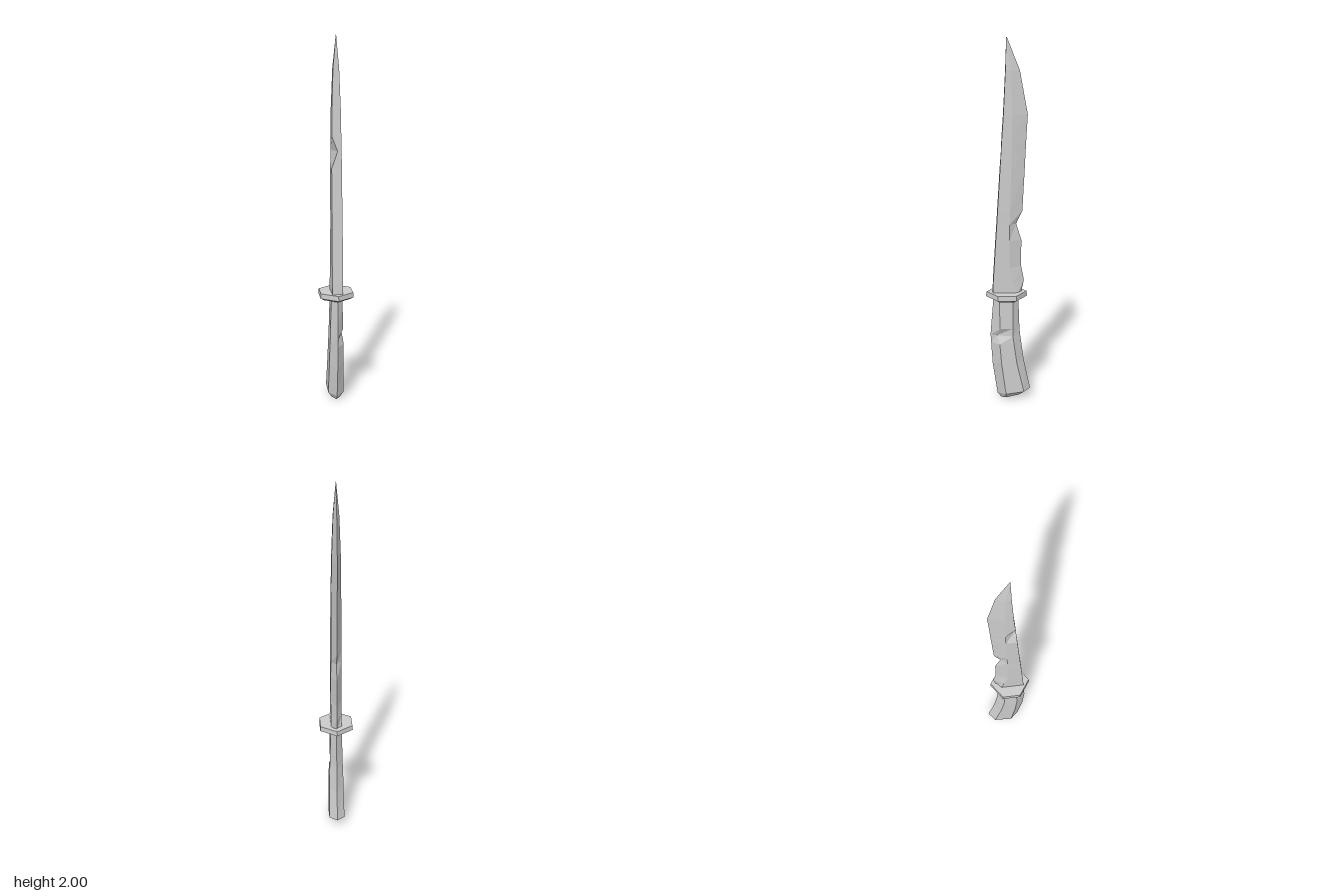
import * as THREE from 'three';

const material = new THREE.MeshStandardMaterial({ color: 0xcccccc, flatShading: true });

// Skin a stack of rings (bottom to top, each anticlockwise seen from above) and cap both ends
function loft(name, rings) {
  const pos = [];
  const tri = (...pts) => pts.forEach((p) => pos.push(...p));
  const n = rings[0].length;
  const centre = (ring) => [0, 1, 2].map((k) => ring.reduce((s, p) => s + p[k], 0) / n);
  const first = rings[0], last = rings[rings.length - 1];
  const c0 = centre(first), c1 = centre(last);
  for (let i = 0; i < n; i++) {
    const j = (i + 1) % n;
    for (let r = 0; r < rings.length - 1; r++) {
      const lo = rings[r], hi = rings[r + 1];
      tri(lo[i], lo[j], hi[j]);
      tri(lo[i], hi[j], hi[i]);
    }
    tri(c0, first[j], first[i]);
    tri(c1, last[i], last[j]);
  }
  const geo = new THREE.BufferGeometry();
  geo.setAttribute('position', new THREE.Float32BufferAttribute(pos, 3));
  geo.computeVertexNormals();
  const mesh = new THREE.Mesh(geo, material);
  mesh.name = name;
  return mesh;
}

// Blade: flat spine at the front, parallel cheeks, then a bevel down to the cutting edge
function makeBlade() {
  // y, half width, spine z, bevel line z, edge z, x of the right spine corner when chipped
  const sections = [
    [0.61, 0.029, 0.086, -0.045, -0.068],
    [0.69, 0.029, 0.083, -0.025, -0.085],
    [0.77, 0.029, 0.078, -0.005, -0.07],
    [0.92, 0.029, 0.069, -0.005, -0.07],
    [1.01, 0.028, 0.063, -0.006, -0.042],
    [1.08, 0.028, 0.059, -0.008, -0.075],
    [1.31, 0.027, 0.045, -0.014, -0.087],
    [1.4, 0.026, 0.04, -0.016, -0.091, 0.005],
    [1.48, 0.025, 0.035, -0.018, -0.095],
    [1.6, 0.024, 0.027, -0.02, -0.102],
    [1.83, 0.016, 0.016, -0.012, -0.06],
    [2.0, 0.001, 0.011, 0.01, 0.008],
  ];
  return loft('blade', sections.map(([y, w, spine, bevel, edge, chip = -w]) => [
    [chip, y, spine], [w, y, spine], [w, y, bevel], [0, y, edge], [-w, y, bevel],
  ]));
}

// Hexagonal ring with ridges at front and back
const hexRing = (w, front, frontSide, backSide, back, yFront, yBack = yFront) => {
  const y = (z) => yFront + ((yBack - yFront) * (front - z)) / (front - back);
  return [[0, front], [w, frontSide], [w, backSide], [0, back], [-w, backSide], [-w, frontSide]]
    .map(([x, z]) => [x, y(z), z]);
};

// Guard: hexagonal plate with a chamfered underside
function makeGuard() {
  return loft('guard', [
    hexRing(0.07, 0.096, 0.05, -0.03, -0.078, 0.587),
    hexRing(0.09, 0.122, 0.06, -0.04, -0.102, 0.6),
    hexRing(0.088, 0.119, 0.059, -0.039, -0.1, 0.627),
  ]);
}

// Grip: bent hexagonal bar, swelling downwards, with a nick and a chamfered butt
function makeGrip() {
  const nicked = hexRing(0.036, 0.098, 0.05, -0.024, -0.065, 0.375);
  nicked[1] = [0.012, 0.375, 0.064];
  return loft('grip', [
    hexRing(0.024, 0.04, 0.012, -0.06, -0.092, 0, 0.03),
    hexRing(0.043, 0.06, 0.014, -0.085, -0.122, 0.027, 0.052),
    hexRing(0.04, 0.087, 0.038, -0.046, -0.086, 0.205, 0.22),
    hexRing(0.038, 0.095, 0.048, -0.03, -0.071, 0.33),
    nicked,
    hexRing(0.035, 0.095, 0.047, -0.024, -0.061, 0.42),
    hexRing(0.03, 0.081, 0.05, -0.023, -0.055, 0.595),
  ]);
}

export function createModel() {
  const group = new THREE.Group();
  group.name = 'machete';
  group.add(makeBlade(), makeGuard(), makeGrip());
  return group;
}
